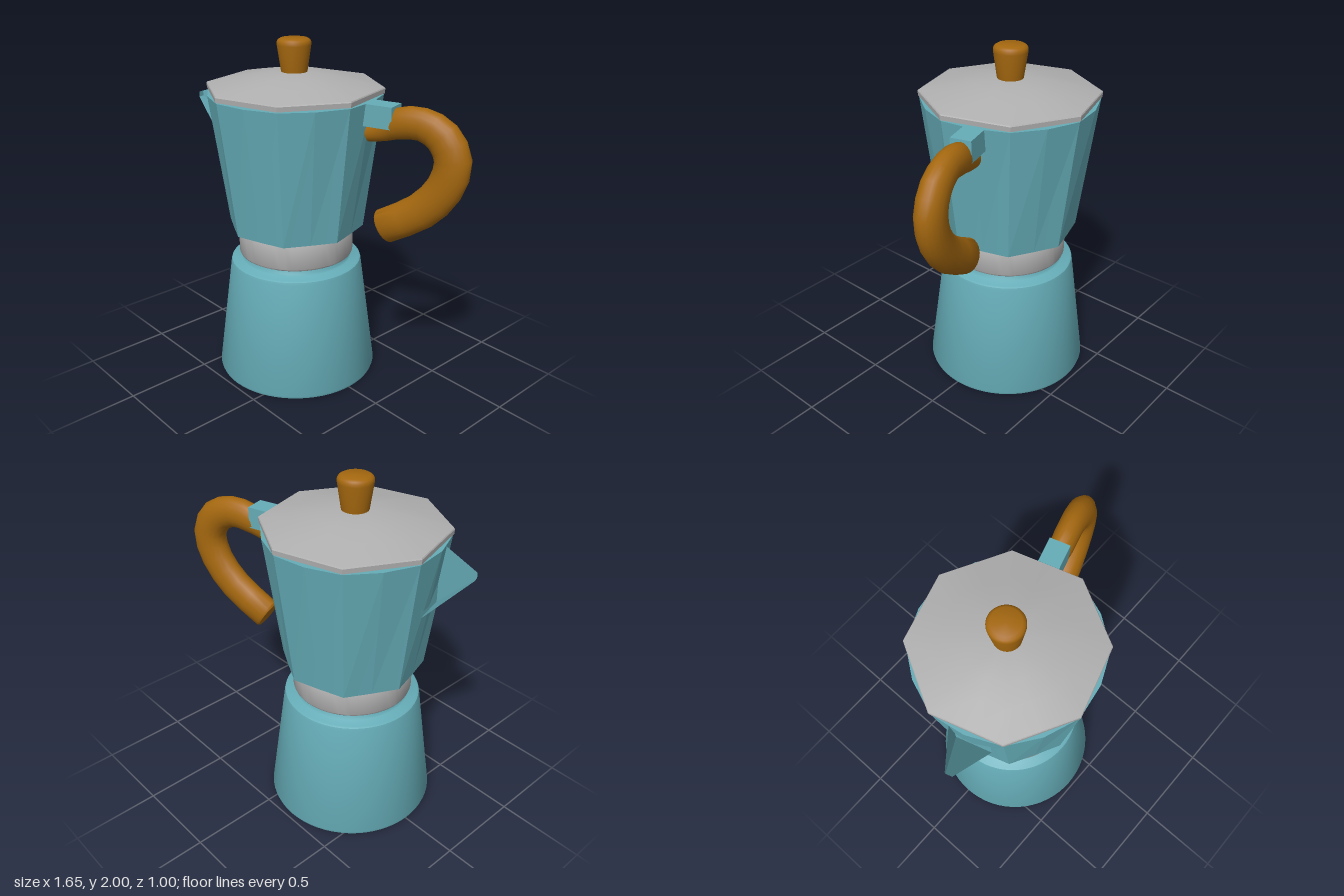
import * as THREE from 'three';
import { toCreasedNormals } from 'three/addons/utils/BufferGeometryUtils.js';

const FLAT = Math.cos(Math.PI / 8); // octagon edge-middle radius over corner radius

function paint(name, hex) {
  const m = new THREE.MeshStandardMaterial({ color: hex });
  m.name = name;
  return m;
}

// Closed skin through a list of rings, each counterclockwise about the path
function loft(rings, crease) {
  const n = rings[0].length, pos = [], idx = [];
  const add = (p) => pos.push(p.x, p.y, p.z) / 3 - 1;
  rings.forEach((r) => r.forEach(add));
  for (let i = 0; i < rings.length - 1; i++) {
    for (let j = 0; j < n; j++) {
      const k = (j + 1) % n, a = i * n + j, b = i * n + k;
      idx.push(a, b, b + n, a, b + n, a + n);
    }
  }
  const middle = (r) => r.reduce((s, p) => s.add(p), new THREE.Vector3()).divideScalar(n);
  const c0 = add(middle(rings[0])), c1 = add(middle(rings[rings.length - 1]));
  const last = (rings.length - 1) * n;
  for (let j = 0; j < n; j++) {
    const k = (j + 1) % n;
    idx.push(c0, k, j, c1, last + j, last + k);
  }
  const g = new THREE.BufferGeometry();
  g.setAttribute('position', new THREE.Float32BufferAttribute(pos, 3));
  g.setIndex(idx);
  return toCreasedNormals(g, crease);
}

// Octagon ring with corners at radius r and edge middles at radius m
function octagon(y, r, m = r * FLAT) {
  return Array.from({ length: 16 }, (_, j) => {
    const a = (j * Math.PI) / 8, q = j % 2 ? r : m;
    return new THREE.Vector3(q * Math.cos(a), y, -q * Math.sin(a));
  });
}

function lathe(points, segments = 64) {
  const profile = points.map(([r, y]) => new THREE.Vector2(r, y));
  return toCreasedNormals(new THREE.LatheGeometry(profile, segments), 0.7);
}

// Oval sweep along a curve in the xy plane; path entries are x, y, radius
function handleGeometry(path) {
  const curve = new THREE.CatmullRomCurve3(path.map(([x, y]) => new THREE.Vector3(x, y, 0)));
  const radii = new THREE.CatmullRomCurve3(path.map(([, , r]) => new THREE.Vector3(r, 0, 0)), false, 'catmullrom');
  const steps = 16, rings = [];
  const ring = (t, scale, push) => {
    const c = curve.getPoint(t), d = curve.getTangent(t);
    const side = new THREE.Vector3(0, 0, 1).cross(d);
    const r = radii.getPoint(t).x * scale;
    return Array.from({ length: 20 }, (_, j) => {
      const a = (j / 20) * Math.PI * 2;
      return c.clone().addScaledVector(d, push)
        .addScaledVector(side, r * Math.cos(a))
        .add(new THREE.Vector3(0, 0, 0.76 * r * Math.sin(a)));
    });
  };
  for (let i = 0; i <= steps; i++) rings.push(ring(i / steps, 1, 0));
  rings.push(ring(1, 0.9, 0.012)); // softened end
  return loft(rings, 0.7);
}

export function createModel() {
  const model = new THREE.Group();
  model.name = 'stovetopCoffeePot';
  const pot = new THREE.Group();
  pot.name = 'pot';
  pot.position.x = -0.19;
  pot.rotation.y = THREE.MathUtils.degToRad(16.8);
  model.add(pot);

  const teal = paint('tealEnamel', 0x66adb8);
  const metal = paint('brushedMetal', 0xb0b0b0);
  const wood = paint('brownWood', 0xa5680f);
  const part = (name, geometry, material) => {
    const mesh = new THREE.Mesh(geometry, material);
    mesh.name = name;
    pot.add(mesh);
    return mesh;
  };

  // Round water chamber with a narrow neck
  part('waterChamber', lathe([
    [0, 0.005], [0.462, 0.005], [0.473, 0.01], [0.478, 0.025], [0.387, 0.7], [0.383, 0.713],
    [0.372, 0.72], [0.325, 0.725], [0.315, 0.735], [0.31, 0.78], [0, 0.78],
  ]), teal);

  // Metal collar
  part('collar', lathe([
    [0, 0.758], [0.326, 0.758], [0.333, 0.762], [0.336, 0.77],
    [0.336, 0.91], [0.333, 0.917], [0.326, 0.92], [0, 0.92],
  ]), metal);
  part('upperNeck', lathe([[0, 0.91], [0.3, 0.91], [0.3, 0.94], [0, 0.94]]), teal);

  // Eight-sided jug, its sides swelling slightly toward the rim
  part('jug', loft([octagon(0.93, 0.397, 0.369), octagon(1.708, 0.495, 0.483)], 0.08), teal);

  // Eight-sided domed lid
  part('lid', loft([
    octagon(1.714, 0.5), octagon(1.74, 0.502), octagon(1.746, 0.498),
    octagon(1.78, 0.34), octagon(1.805, 0.22), octagon(1.82, 0.1),
  ], 0.35), metal);

  // Lid knob
  part('knob', lathe([
    [0, 1.81], [0.071, 1.81], [0.074, 1.83], [0.094, 1.965], [0.094, 1.98],
    [0.088, 1.992], [0.074, 2], [0, 2],
  ], 40), wood);

  // Spout: wide at the jug, narrowing to a small tip
  const section = (x, y0, y1, w) => [[y0, -w], [y1, -w], [y1, w], [y0, w]]
    .map(([y, z]) => new THREE.Vector3(x, y, z));
  part('spout', loft([
    section(-0.435, 1.36, 1.7, 0.1), section(-0.664, 1.6, 1.63, 0.018),
  ], 0.1), teal);

  // Bracket joining the handle to the jug
  const bracket = part('handleBracket', new THREE.BoxGeometry(0.19, 0.12, 0.115), teal);
  bracket.position.set(0.53, 1.648, 0);

  // Curved handle
  part('handle', handleGeometry([
    [0.46, 1.535, 0.045], [0.55, 1.565, 0.06], [0.65, 1.615, 0.085], [0.775, 1.628, 0.088],
    [0.89, 1.575, 0.096], [0.952, 1.46, 0.1], [0.915, 1.305, 0.1], [0.79, 1.155, 0.1],
    [0.58, 1.025, 0.098],
  ]), wood);

  return model;
}
